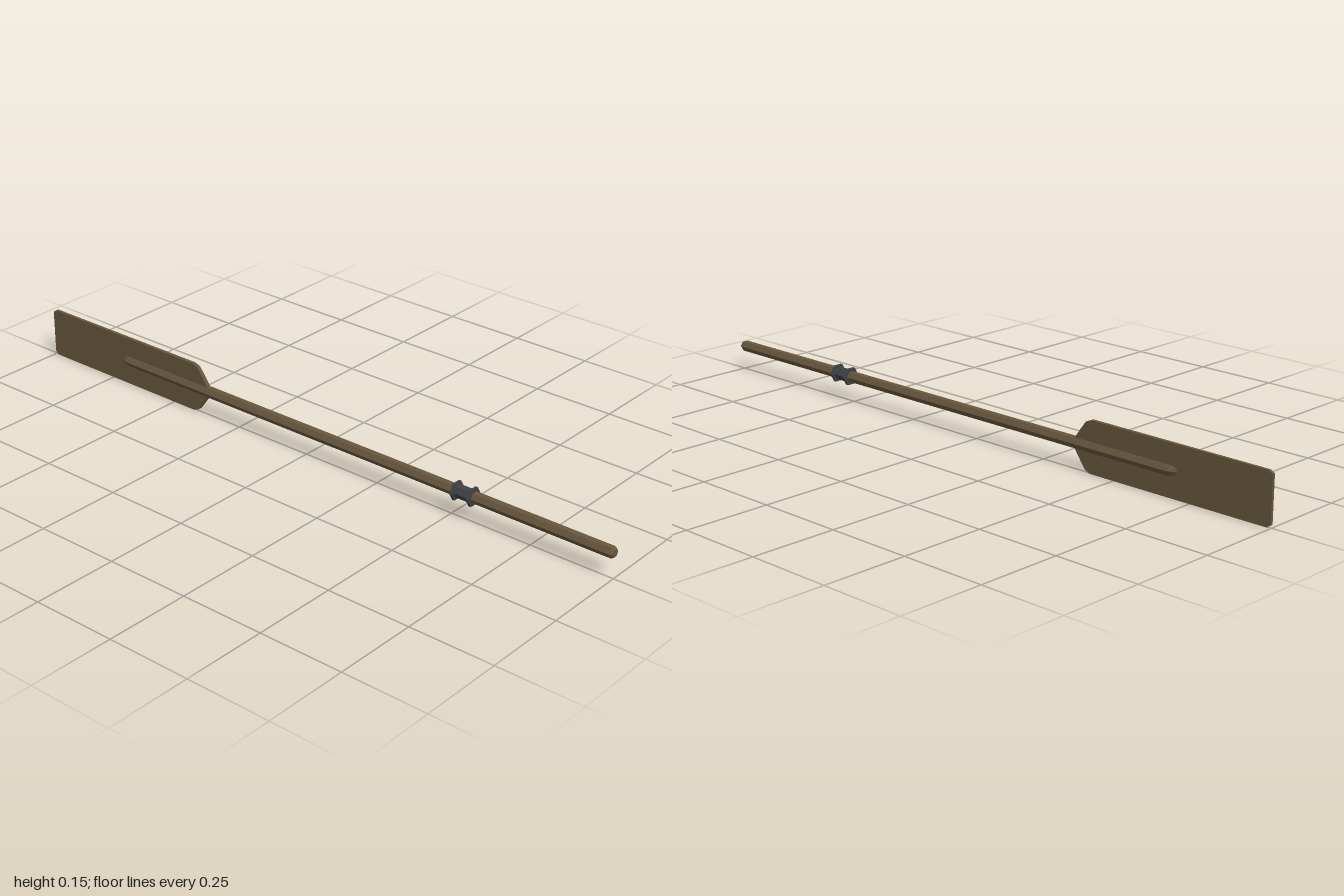
import * as THREE from 'three';

const AXIS_Y = 0.0735;

// Faceted normals, one per face
function faceted(geometry) {
  const g = geometry.index ? geometry.toNonIndexed() : geometry;
  g.computeVertexNormals();
  return g;
}

// Six-sided solid turned around the x axis from [x, radius] pairs
function hexTurned(profile) {
  const points = profile.map(([x, r]) => new THREE.Vector2(r, x));
  return new THREE.LatheGeometry(points, 6).rotateZ(-Math.PI / 2);
}

// Rectangular cross-sections joined along x: [x, halfHeight, halfThickness]
function lofted(stations) {
  const positions = [], index = [];
  for (const [x, h, t] of stations) {
    positions.push(x, h, t, x, h, -t, x, -h, -t, x, -h, t);
  }
  const last = (stations.length - 1) * 4;
  for (let a = 0; a < last; a += 4) {
    for (let k = 0; k < 4; k++) {
      const p = a + k, q = a + (k + 1) % 4;
      index.push(p, p + 4, q, q, p + 4, q + 4);
    }
  }
  index.push(0, 1, 2, 0, 2, 3, last, last + 2, last + 1, last, last + 3, last + 2);
  const g = new THREE.BufferGeometry();
  g.setAttribute('position', new THREE.Float32BufferAttribute(positions, 3));
  g.setIndex(index);
  return g;
}

export function createModel() {
  const wood = new THREE.MeshStandardMaterial({ color: 0x67563d });
  wood.name = 'wood';
  const iron = new THREE.MeshStandardMaterial({ color: 0x404146 });
  iron.name = 'iron';

  const oar = new THREE.Group();
  oar.name = 'oar';
  const add = (name, geometry, material) => {
    const mesh = new THREE.Mesh(faceted(geometry), material);
    mesh.name = name;
    mesh.position.y = AXIS_Y;
    oar.add(mesh);
  };

  // Shaft: chamfered grip end, and a wedge that dies into the blade
  const shaft = hexTurned([
    [-0.71, 0], [-0.71, 0.0125], [-0.685, 0.0165], [0.993, 0.0165], [1, 0.0125], [1, 0],
  ]);
  const pos = shaft.attributes.position;
  for (let i = 0; i < pos.count; i++) {
    if (pos.getX(i) < -0.7) pos.setZ(i, pos.getZ(i) * 0.4);
  }
  add('shaft', shaft, wood);

  // Blade: thin at the clipped tip, thicker at the sloping shoulder
  add('blade', lofted([
    [-1, 0.066, 0.004], [-0.988, 0.0735, 0.0042], [-0.7, 0.0735, 0.005],
    [-0.42, 0.0735, 0.0055], [-0.403, 0.066, 0.0058], [-0.385, 0.042, 0.006],
    [-0.365, 0.014, 0.006],
  ]), wood);

  // Collar: sleeve with a flange at each end
  add('collarSleeve', hexTurned([
    [0.512, 0.0165], [0.512, 0.019], [0.57, 0.019], [0.57, 0.0165],
  ]), iron);
  for (const [name, x] of [['innerFlange', 0.514], ['outerFlange', 0.567]]) {
    add(name, hexTurned([
      [x - 0.004, 0.016], [x - 0.004, 0.0275], [x + 0.004, 0.0275], [x + 0.004, 0.016],
    ]), iron);
  }
  return oar;
}
